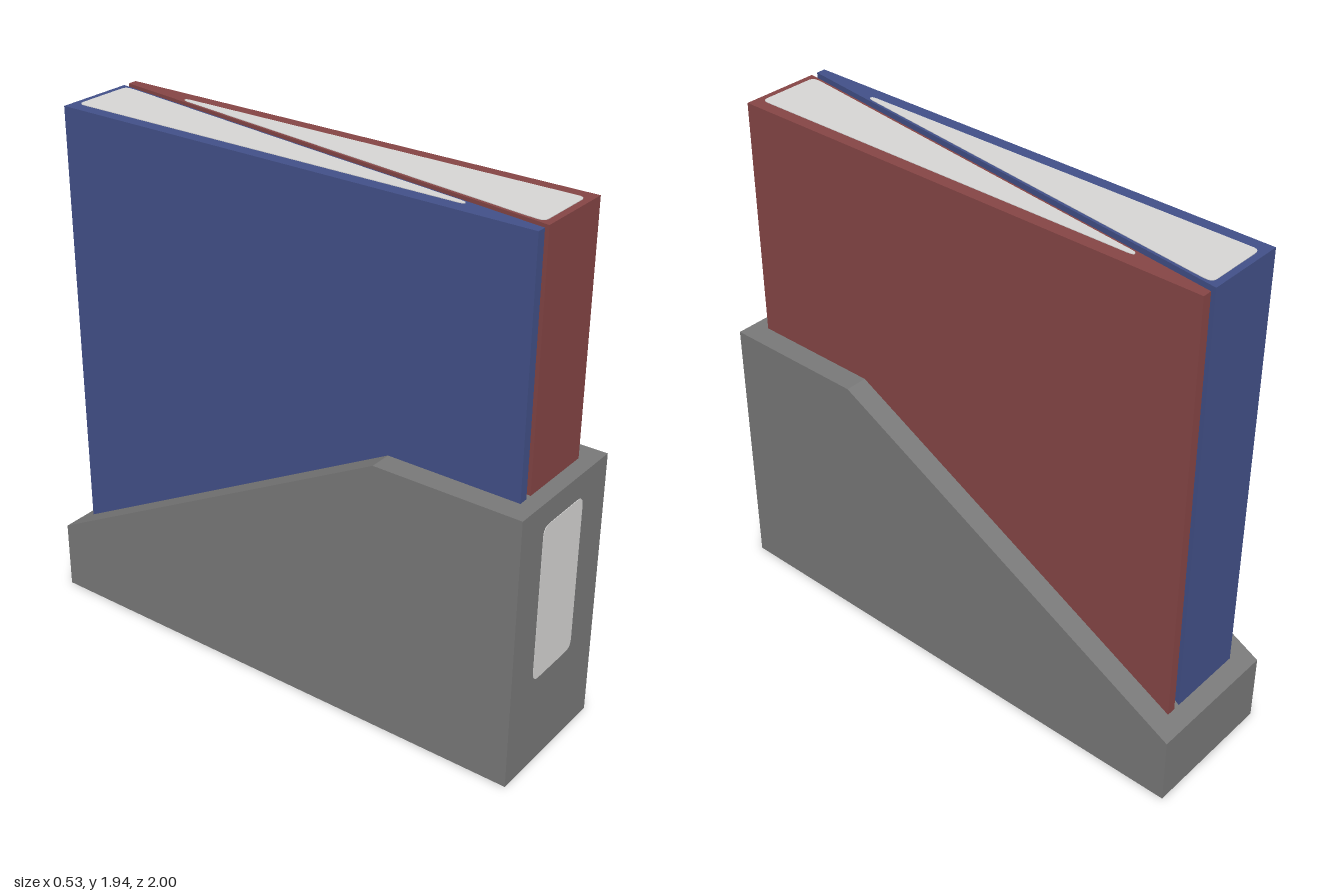
import * as THREE from 'three';

// Polygon shape with optionally rounded corners
function polygon(points, r = 0) {
  const p = points.map(([x, y]) => new THREE.Vector2(x, y));
  if (!r) return new THREE.Shape(p);
  const s = new THREE.Shape();
  p.forEach((c, i) => {
    const toward = (q) => {
      const d = q.clone().sub(c);
      return c.clone().add(d.setLength(Math.min(r, d.length() * 0.45)));
    };
    const a = toward(p[(i + p.length - 1) % p.length]);
    const b = toward(p[(i + 1) % p.length]);
    if (i === 0) s.moveTo(a.x, a.y);
    else s.lineTo(a.x, a.y);
    s.quadraticCurveTo(c.x, c.y, b.x, b.y);
  });
  s.closePath();
  return s;
}

const extrude = (shape, depth) =>
  new THREE.ExtrudeGeometry(shape, { depth, bevelEnabled: false, curveSegments: 5 });

// Upright prism from a plan outline given as [x, z]
function prism(plan, y0, y1, r) {
  const g = extrude(polygon(plan.map(([x, z]) => [x, -z]), r), y1 - y0);
  return g.rotateX(-Math.PI / 2).translate(0, y0, 0);
}

export function createModel() {
  const model = new THREE.Group();
  model.name = 'wedgeBlocksInHolder';

  const material = (name, color) => {
    const m = new THREE.MeshStandardMaterial({ color });
    m.name = name;
    return m;
  };
  const grey = material('holderGrey', 0x787878);
  const blue = material('wedgeBlue', 0x425088);
  const red = material('wedgeRed', 0x854545);
  const pale = material('labelPale', 0xd6d5d4);

  const add = (name, geometry, mat, parent = model) => {
    const mesh = new THREE.Mesh(geometry, mat);
    mesh.name = name;
    parent.add(mesh);
    return mesh;
  };

  // Holder: side profile as [-z, y], with a sloping top toward the back
  const width = 0.53;
  const profile = [[-1, 0], [1, 0], [1, 0.263], [-0.44, 1.033], [-1, 1.033]];
  const holder = extrude(polygon(profile), width);
  add('holder', holder.rotateY(Math.PI / 2).translate(-width / 2, 0, 0), grey);

  // Label plate on the front of the holder
  const plate = extrude(
    polygon([[-0.13, 0.35], [0.115, 0.35], [0.115, 0.945], [-0.13, 0.945]], 0.035), 0.003);
  add('frontLabel', plate.translate(0, 0, 0.999), pale);

  // Two matching wedges, the second turned half round, each with a label on top
  const top = 1.935;
  const wedgePlan = [[-0.18, -0.94], [0.12, -0.94], [-0.145, 0.94], [-0.18, 0.94]];
  const labelPlan = [[-0.135, -0.915], [0.103, -0.915], [0.098, -0.86], [-0.113, 0.655], [-0.13, 0.655]];
  [['blueWedge', blue, 0], ['redWedge', red, Math.PI]].forEach(([name, mat, turn]) => {
    const wedge = new THREE.Group();
    wedge.name = name;
    wedge.rotation.y = turn;
    add(name + 'Body', prism(wedgePlan, 0.1, top), mat, wedge);
    add(name + 'TopLabel', prism(labelPlan, top - 0.001, top + 0.002, 0.025), pale, wedge);
    model.add(wedge);
  });

  return model;
}
